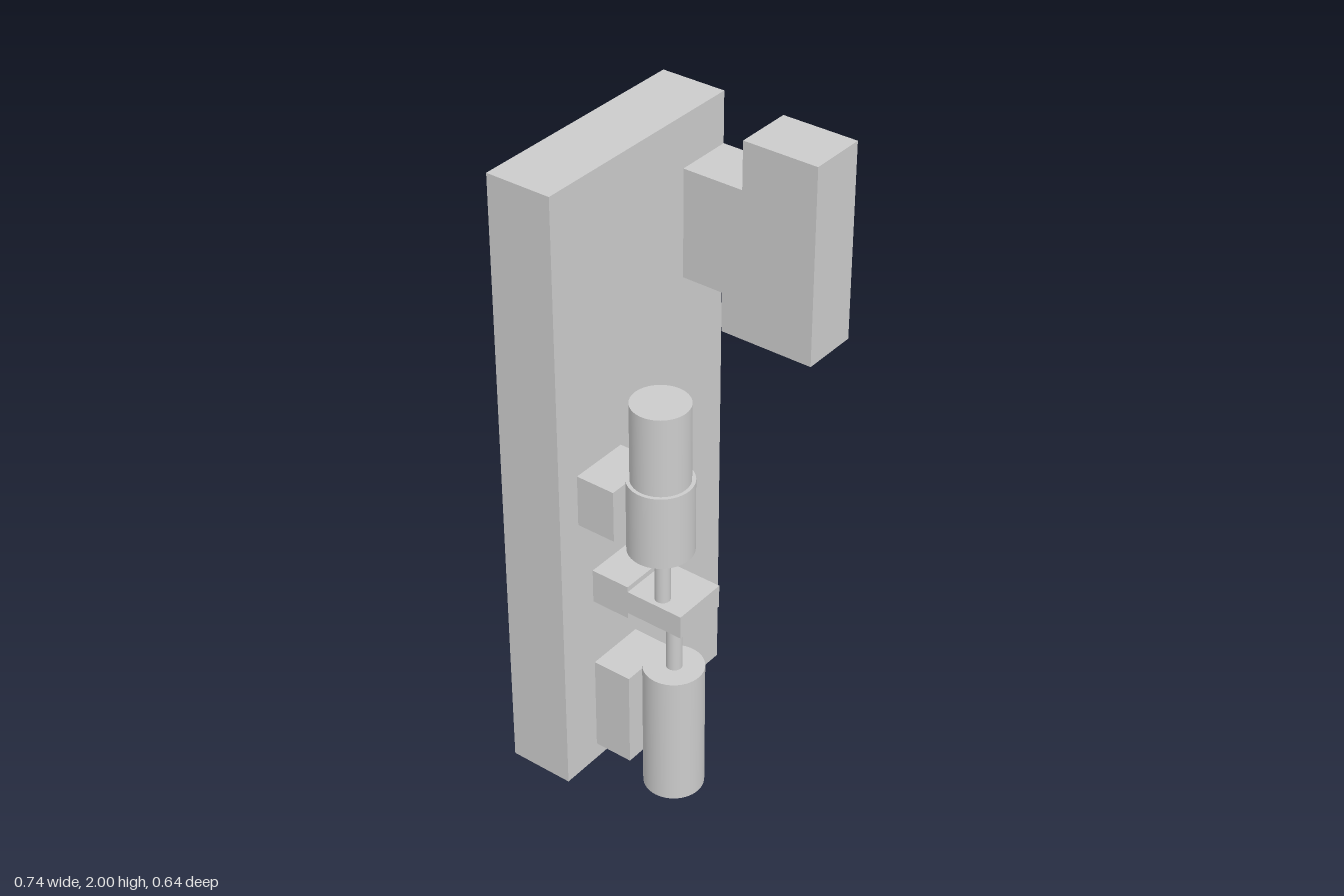
import * as THREE from 'three';

const material = new THREE.MeshStandardMaterial({ color: 0xcccccc });

export function createModel() {
  const model = new THREE.Group();
  model.name = 'wallMountedActuator';

  const add = (name, geometry) => {
    const mesh = new THREE.Mesh(geometry, material);
    mesh.name = name;
    model.add(mesh);
    return mesh;
  };
  // Box given by its extents on each axis
  const box = (name, [x0, x1], [y0, y1], [z0, z1]) =>
    add(name, new THREE.BoxGeometry(x1 - x0, y1 - y0, z1 - z0))
      .position.set((x0 + x1) / 2, (y0 + y1) / 2, (z0 + z1) / 2);
  // Upright cylinder given by radius, height range and axis
  const cylinder = (name, r, [y0, y1], x, z) =>
    add(name, new THREE.CylinderGeometry(r, r, y1 - y0, 48))
      .position.set(x, (y0 + y1) / 2, z);

  const boardFront = -0.113;
  const mountFront = 0.013;

  // Back board
  box('backBoard', [-0.368, 0.368], [0.03, 2], [-0.32, boardFront]);

  // Stepped bracket: side profile as (z, y), extruded across x
  const profile = [
    [0.32, 1.378], [0.02, 1.378], [0.02, 1.502], [boardFront, 1.502],
    [boardFront, 1.841], [0.082, 1.841], [0.082, 1.988], [0.32, 1.988],
  ];
  const shape = new THREE.Shape(profile.map(([z, y]) => new THREE.Vector2(-z, y)));
  const bracket = new THREE.ExtrudeGeometry(shape, { depth: 0.181, bevelEnabled: false });
  bracket.rotateY(Math.PI / 2);
  add('steppedBracket', bracket).position.x = 0.187;

  // Blocks that hold the column to the board
  box('upperMount', [-0.29, -0.098], [0.932, 1.097], [boardFront, mountFront]);
  box('middleMount', [-0.233, -0.042], [0.626, 0.737], [boardFront, mountFront]);
  box('lowerMount', [-0.233, -0.042], [0.085, 0.4], [boardFront, mountFront]);

  // Upper cylinder, its collar and rod
  cylinder('upperCylinder', 0.085, [1.13, 1.378], -0.195, 0.103);
  cylinder('upperCollar', 0.096, [0.896, 1.13], -0.195, 0.103);
  cylinder('upperRod', 0.023, [0.72, 0.896], -0.195, 0.108);

  // Plate that links the two rods
  box('linkPlate', [-0.233, -0.053], [0.645, 0.72], [mountFront, 0.2]);

  // Lower rod and cylinder
  cylinder('lowerRod', 0.024, [0.438, 0.645], -0.139, 0.106);
  cylinder('lowerCylinder', 0.091, [0, 0.438], -0.139, 0.104);

  return model;
}
